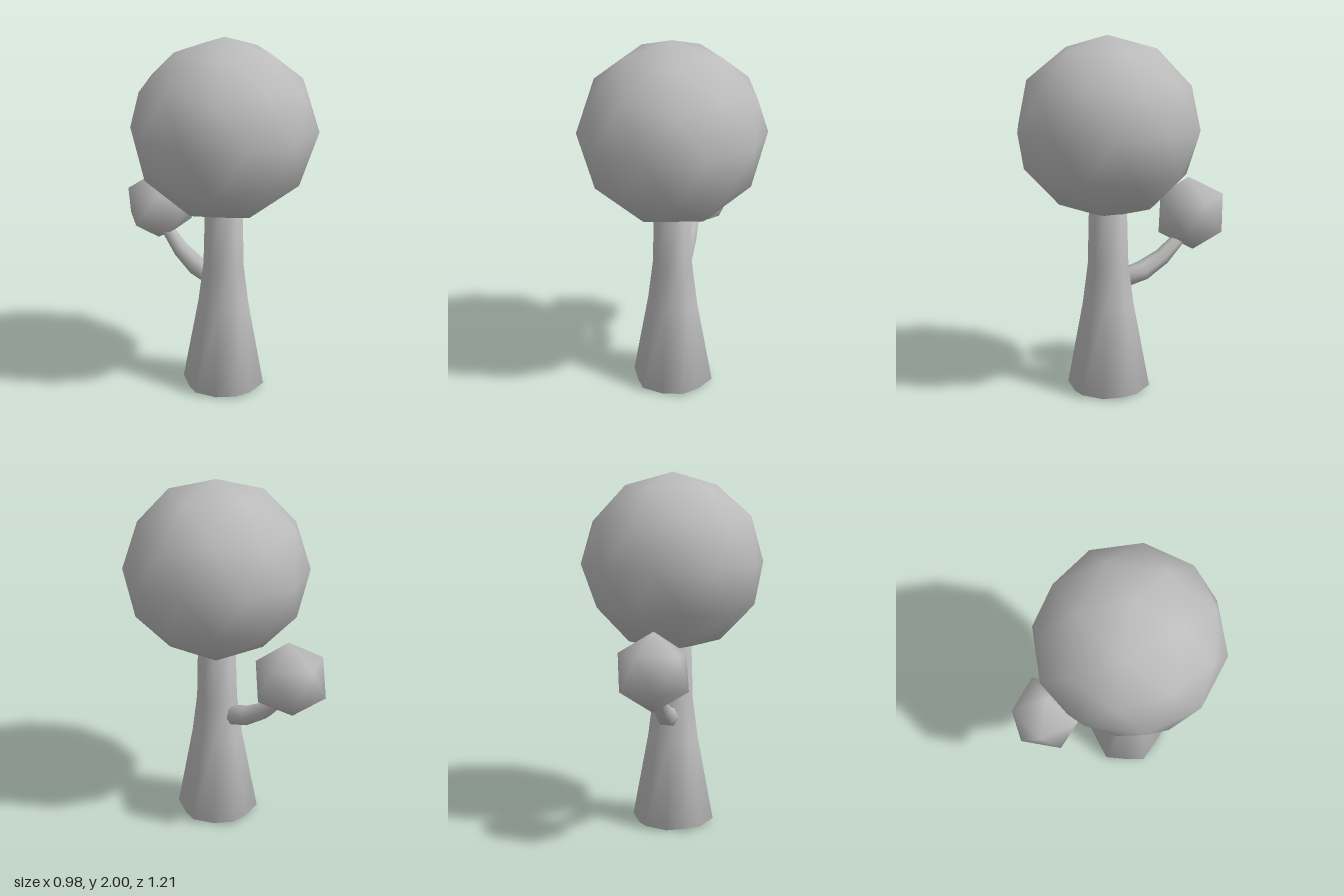
import * as THREE from 'three';
import { mergeVertices } from 'three/addons/utils/BufferGeometryUtils.js';

const UP = new THREE.Vector3(0, 1, 0);

// Smooth-shaded icosphere with a vertex at each pole
function icoBall(radius, detail) {
  const g = new THREE.IcosahedronGeometry(radius, detail);
  g.deleteAttribute('uv');
  g.deleteAttribute('normal');
  const ball = mergeVertices(g, 1e-4);
  ball.rotateZ(-Math.atan(2 / (1 + Math.sqrt(5))));
  ball.computeVertexNormals();
  return ball;
}

// Closed smooth skin through rings { center, dir, radius, dip }.
// With ridged on, every second point lies on the straight side between corners.
function loft(rings, sides, ridged) {
  const pos = [], index = [], n = sides;
  const e1 = new THREE.Vector3(1, 0, 0);
  for (const { center, dir, radius, dip = 0 } of rings) {
    const e2 = new THREE.Vector3().crossVectors(e1, dir).normalize();
    for (let j = 0; j < n; j++) {
      const a = (j / n) * Math.PI * 2;
      const mid = ridged && j % 2 === 1;
      const r = radius * (mid ? Math.cos((Math.PI * 2) / n) : 1);
      const p = center.clone()
        .addScaledVector(e1, Math.cos(a) * r)
        .addScaledVector(e2, Math.sin(a) * r);
      if (mid) p.y -= dip;
      pos.push(p.x, p.y, p.z);
    }
  }
  const last = rings.length - 1, c0 = rings.length * n, c1 = c0 + 1;
  for (const r of [rings[0], rings[last]]) pos.push(r.center.x, r.center.y, r.center.z);
  for (let j = 0; j < n; j++) {
    const k = (j + 1) % n;
    for (let i = 0; i < last; i++) {
      const a = i * n + j, b = i * n + k;
      index.push(a, a + n, b, b, a + n, b + n);
    }
    index.push(c0, j, k, c1, last * n + k, last * n + j);
  }
  const g = new THREE.BufferGeometry();
  g.setAttribute('position', new THREE.Float32BufferAttribute(pos, 3));
  g.setIndex(index);
  g.computeVertexNormals();
  return g;
}

export function createModel() {
  const group = new THREE.Group();
  const grey = new THREE.MeshStandardMaterial({ color: 0xbcbcbc });
  grey.name = 'plain grey';

  const add = (name, geometry) => {
    const mesh = new THREE.Mesh(geometry, grey);
    mesh.name = name;
    group.add(mesh);
    return mesh;
  };

  // Six-sided trunk flaring to the roots: [height, radius, dip of the side middles]
  const trunkRings = [[0.02, 0.235, 0.018], [0.5, 0.145, 0], [0.73, 0.115, 0], [1.03, 0.107, 0]]
    .map(([y, radius, dip]) => ({ center: new THREE.Vector3(0, y, 0.092), dir: UP, radius, dip }));
  add('trunk', loft(trunkRings, 12, true));

  // Large crown
  const crown = add('crown', icoBall(1, 1));
  crown.scale.set(0.513, 0.5, 0.513);
  crown.position.set(0, 1.5, 0.092);

  // Side branch curving up and back
  const branchPath = new THREE.CatmullRomCurve3([
    new THREE.Vector3(0, 0.635, 0.01),
    new THREE.Vector3(0, 0.67, -0.12),
    new THREE.Vector3(0, 0.738, -0.24),
    new THREE.Vector3(0, 0.86, -0.37),
  ]);
  const branchRings = [0, 1, 2, 3].map((i) => ({
    center: branchPath.getPoint(i / 3),
    dir: branchPath.getTangent(i / 3),
    radius: [0.055, 0.057, 0.048, 0.035][i],
  }));
  add('branch', loft(branchRings, 6, false));

  // Small tuft of leaves at the branch end
  const tuft = add('branchTuft', icoBall(0.214, 0));
  tuft.position.set(0.01, 0.98, -0.413);
  tuft.rotation.x = 0.08;

  return group;
}
